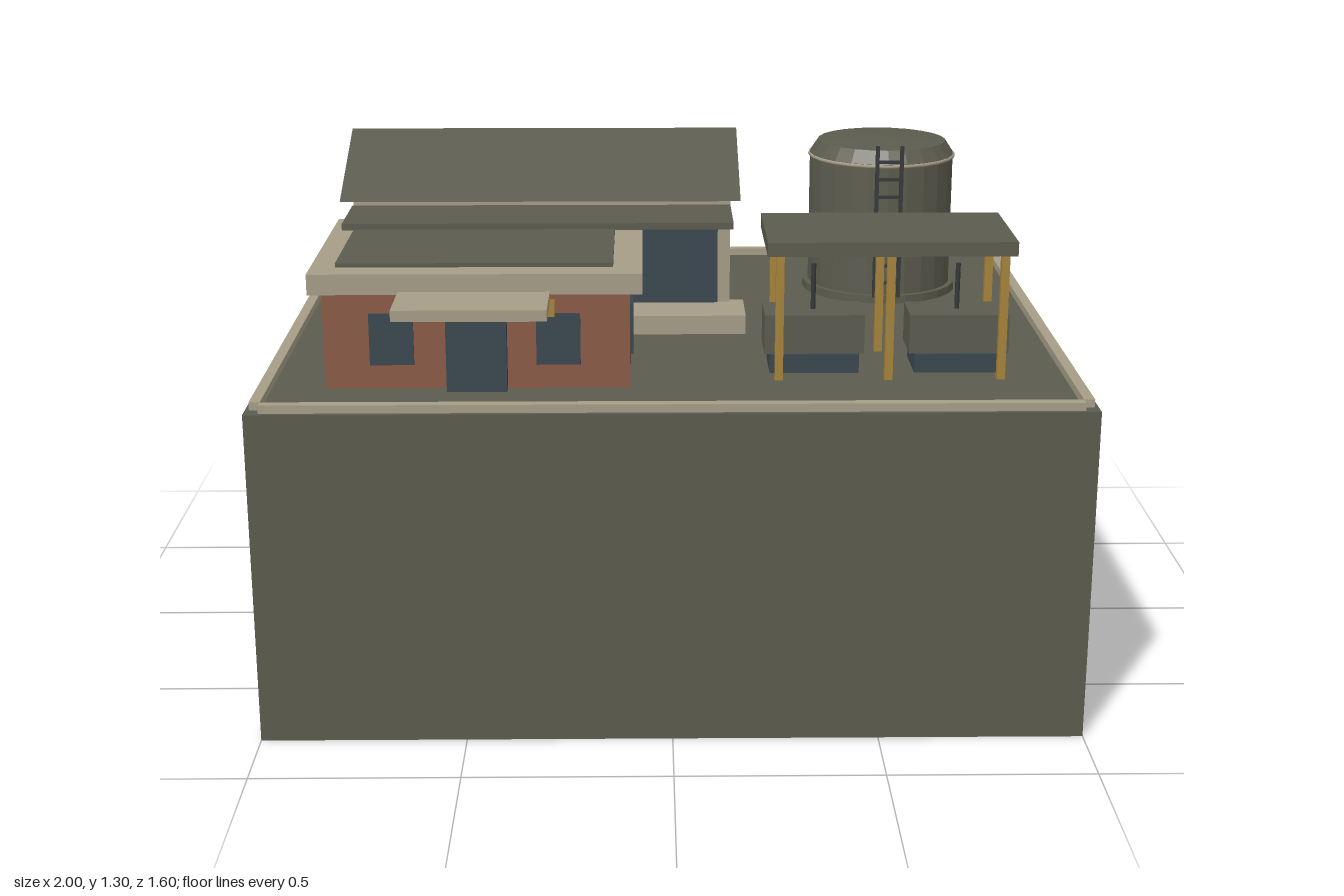
import * as THREE from 'three';

const mat = (name, color) => {
  const m = new THREE.MeshStandardMaterial({ color });
  m.name = name;
  return m;
};

export function createModel() {
  const model = new THREE.Group();
  const olive = mat('olive grey', 0x5c5b4e);
  olive.flatShading = true;
  const roofOlive = mat('roof olive', 0x5c5b4e);
  roofOlive.side = THREE.DoubleSide;
  const beige = mat('beige concrete', 0xa69d87);
  const brick = mat('brick red', 0x8a5a47);
  const gold = mat('ochre', 0xa5833a);
  const glass = mat('slate blue', 0x3a474f);
  const iron = mat('dark iron', 0x35383a);

  const add = (name, geo, material, parent = model) => {
    const mesh = new THREE.Mesh(geo, material);
    mesh.name = name;
    parent.add(mesh);
    return mesh;
  };
  // Box given by its two extreme corners
  const box = (name, material, x0, x1, y0, y1, z0, z1, parent = model) => {
    const mesh = add(name, new THREE.BoxGeometry(x1 - x0, y1 - y0, z1 - z0), material, parent);
    mesh.position.set((x0 + x1) / 2, (y0 + y1) / 2, (z0 + z1) / 2);
    return mesh;
  };
  const group = (name) => {
    const g = new THREE.Group();
    g.name = name;
    model.add(g);
    return g;
  };
  const G = 0.83; // ground level

  // Ground block and curbs
  box('groundBlock', olive, -1, 1, 0, G, -0.8, 0.8);
  for (const s of [-1, 1]) {
    box('curbLong', beige, -0.965, 0.965, G, 0.85, s * 0.777 - 0.013, s * 0.777 + 0.013);
    box('curbShort', beige, s * 0.977 - 0.013, s * 0.977 + 0.013, G, 0.85, -0.765, 0.765);
  }

  // Gabled warehouse
  const warehouse = group('warehouse');
  const gable = new THREE.Shape();
  gable.moveTo(0.03, G);
  gable.lineTo(0.63, G);
  gable.lineTo(0.63, 1.163);
  gable.lineTo(0.33, 1.292);
  gable.lineTo(0.03, 1.163);
  const body = new THREE.ExtrudeGeometry(gable, { depth: 0.995, bevelEnabled: false });
  body.rotateY(Math.PI / 2);
  add('warehouseWalls', body, beige, warehouse).position.x = -0.832;
  // Thin roof sheets sloping from the ridge
  for (const [name, edge] of [['roofFront', -0.01], ['roofBack', -0.665]]) {
    const run = edge + 0.33;
    const drop = Math.abs(run) * 0.43;
    const sheet = new THREE.PlaneGeometry(1.055, Math.hypot(run, drop));
    sheet.rotateX(-Math.PI / 2);
    sheet.rotateX(Math.sign(run) * Math.atan2(drop, Math.abs(run)));
    add(name, sheet, roofOlive, warehouse).position.set(-0.338, 1.296 - drop / 2, -0.33 + run / 2);
  }
  box('warehouseDoor', glass, -0.1, 0.13, G, 1.1, -0.03, -0.023, warehouse);

  // Loading dock and the flat roof strip above it
  box('loadingDock', beige, -0.865, 0.2, G, 0.88, -0.05, 0.115);
  box('linkRoof', olive, -0.835, 0.163, 1.128, 1.145, -0.03, 0.19);

  // Brick office
  const office = group('office');
  box('brickWalls', brick, -0.835, -0.1, G, 1.07, 0.055, 0.59, office);
  box('parapet', beige, -0.865, -0.07, 1.07, 1.12, 0.02, 0.62, office);
  box('officeRoof', olive, -0.805, -0.14, 1.12, 1.13, 0.05, 0.55, office);
  box('officeDoor', glass, -0.54, -0.395, G, 1.03, 0.58, 0.622, office);
  for (const x of [-0.672, -0.272])
    box('frontWindow', glass, x - 0.053, x + 0.053, 0.89, 1.017, 0.59, 0.597, office);
  for (const z of [0.255, 0.453])
    box('sideWindow', glass, -0.1, -0.093, 0.89, 1.017, z - 0.053, z + 0.053, office);
  box('doorLintel', gold, -0.66, -0.28, 1.01, 1.05, 0.59, 0.6, office);
  box('doorCanopy', beige, -0.65, -0.29, 1.05, 1.077, 0.54, 0.79, office);

  // Storage tank
  const tank = group('storageTank');
  tank.position.set(0.6, 0, -0.405);
  const profile = [[0.215, G], [0.215, 0.852], [0.2, 0.852], [0.2, 1.215], [0.177, 1.25], [0, 1.262]];
  add('tankShell', new THREE.LatheGeometry(profile.map((p) => new THREE.Vector2(...p)), 24), olive, tank);
  for (const y of [1.02, 1.21]) {
    const ring = add('tankBand', new THREE.TorusGeometry(0.2, 0.005, 6, 24), beige, tank);
    ring.rotation.x = Math.PI / 2;
    ring.position.y = y;
  }
  // Ladder on the tank front
  for (const x of [-0.033, 0.033])
    box('ladderRail', iron, x - 0.005, x + 0.005, 0.85, 1.27, 0.212, 0.222, tank);
  for (let i = 0; i < 8; i++) {
    const y = 0.89 + i * 0.048;
    box('ladderRung', iron, -0.033, 0.033, y - 0.004, y + 0.004, 0.213, 0.221, tank);
  }

  // Open shelter on posts
  const shelter = group('shelter');
  box('shelterRoof', olive, 0.23, 0.83, 1.145, 1.18, 0.23, 0.56, shelter);
  for (const x of [0.262, 0.53, 0.805])
    for (const z of [0.274, 0.526])
      box('shelterPost', gold, x - 0.01, x + 0.01, G, 1.145, z - 0.01, z + 0.01, shelter);

  // Generators under the shelter
  for (const x of [0.353, 0.71]) {
    const generator = group('generator');
    generator.position.set(x, 0, 0.4);
    box('generatorBase', glass, -0.11, 0.11, G, 0.877, -0.073, 0.073, generator);
    box('generatorHousing', olive, -0.123, 0.123, 0.877, 0.975, -0.065, 0.065, generator);
    const stack = add('exhaustStack', new THREE.CylinderGeometry(0.006, 0.006, 0.12, 8), iron, generator);
    stack.position.y = 1.03;
  }
  return model;
}
